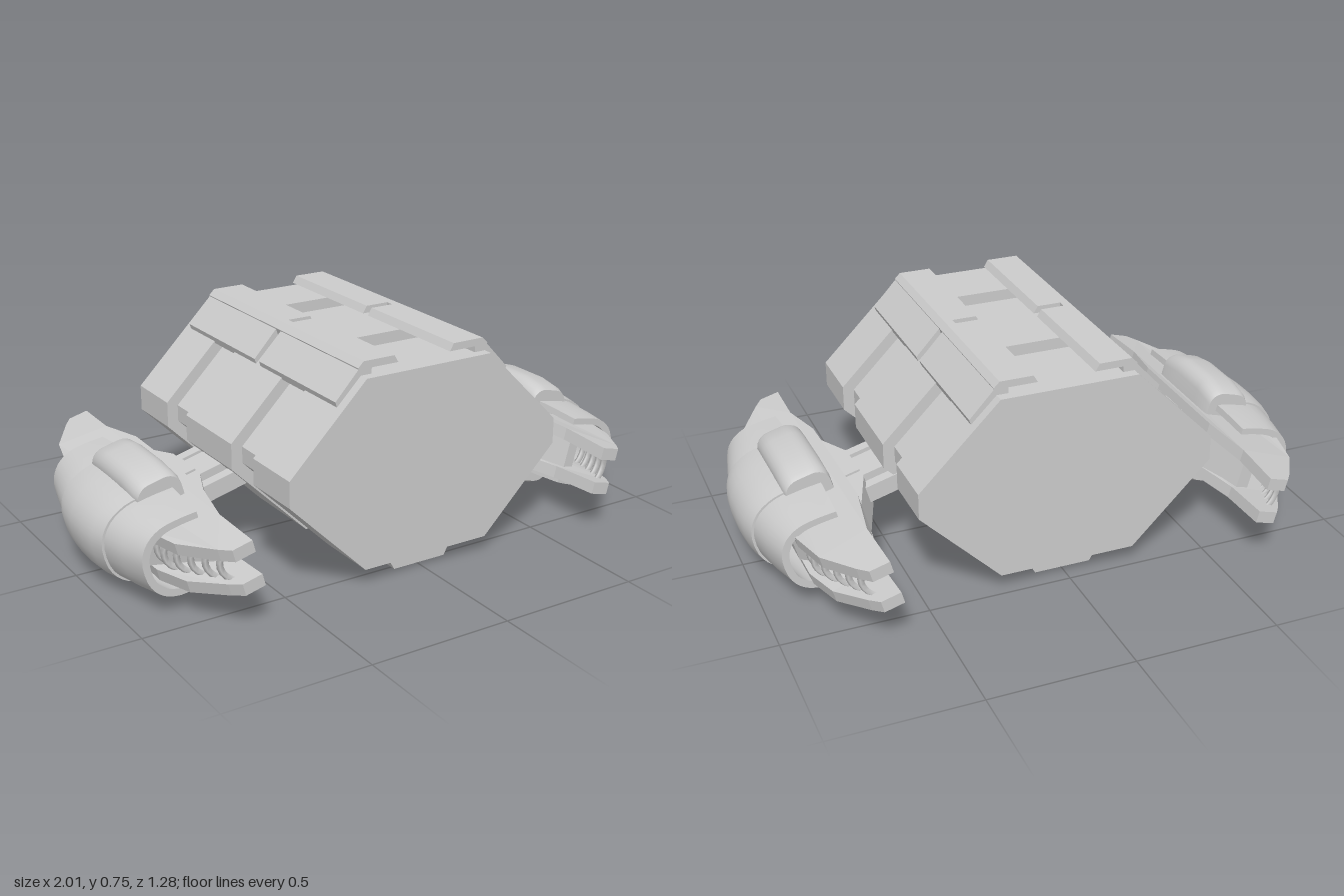
import * as THREE from 'three';
import { toCreasedNormals } from 'three/addons/utils/BufferGeometryUtils.js';

const mat = new THREE.MeshStandardMaterial({ color: 0xcccccc });
const V = (a) => a.map(([x, y]) => new THREE.Vector2(x, y));

function add(parent, name, geo) {
  const mesh = new THREE.Mesh(geo, mat);
  mesh.name = name;
  parent.add(mesh);
  return mesh;
}

// Straight prism along z
function prism(points, z0, z1) {
  const geo = new THREE.ExtrudeGeometry(new THREE.Shape(V(points)), { depth: z1 - z0, bevelEnabled: false });
  return geo.translate(0, 0, z0);
}

// Flat plate drawn in x/z, with its thickness centred on y = 0
function plate(points, thick) {
  const geo = new THREE.ExtrudeGeometry(new THREE.Shape(V(points)), { depth: thick, bevelEnabled: false });
  return geo.rotateX(Math.PI / 2).translate(0, thick / 2, 0);
}

// Counter-clockwise outline swept through stations [z, scaleX, scaleY], with capped ends
function loft(outline, stations) {
  const n = outline.length, pos = [], idx = [];
  for (const [z, sx, sy] of stations) for (const p of outline) pos.push(p.x * sx, p.y * sy, z);
  for (let s = 0; s < stations.length - 1; s++) {
    for (let i = 0; i < n; i++) {
      const j = (i + 1) % n, a = s * n + i, b = s * n + j;
      idx.push(a, b, b + n, a, b + n, a + n);
    }
  }
  const last = (stations.length - 1) * n;
  for (const [a, b, c] of THREE.ShapeUtils.triangulateShape(outline, [])) {
    idx.push(c, b, a, last + a, last + b, last + c);
  }
  const geo = new THREE.BufferGeometry();
  geo.setAttribute('position', new THREE.Float32BufferAttribute(pos, 3));
  geo.setIndex(idx);
  return toCreasedNormals(geo, 0.6);
}

// Eight-sided hull section, inset by d
function hullSection(d) {
  const k = d * 0.41, right = [[0.24 - k, 0.06 + d], [0.52 - d, 0.34 + k], [0.52 - d, 0.43 - k], [0.24 - k, 0.71 - d]];
  return [...right, ...right.map(([x, y]) => [-x, y]).reverse()];
}

// C-shaped armour section, open toward the hull
function shellSection() {
  const pts = [[-0.05, -0.14], [0.04, -0.147], [0.13, -0.143], [0.2, -0.11], [0.24, -0.05],
    [0.24, 0.05], [0.2, 0.11], [0.13, 0.143], [0.04, 0.147], [-0.05, 0.14]];
  const outer = new THREE.CatmullRomCurve3(pts.map(([x, y]) => new THREE.Vector3(x, y, 0)))
    .getPoints(28).map((p) => new THREE.Vector2(p.x, p.y));
  const inner = outer.map((p) => new THREE.Vector2(p.x > 0 ? p.x * 0.87 : p.x, p.y * 0.82)).reverse();
  return [...outer, ...inner];
}

// Rounded pad section above the pod
function cowlSection() {
  const w = 0.082, top = 0.2, r = 0.055, pts = [[-w, 0.085], [w, 0.085]];
  for (let i = 0; i <= 6; i++) {
    const a = (i / 6) * Math.PI / 2;
    pts.push([w - r + r * Math.cos(a), top - r + r * Math.sin(a)]);
  }
  for (let i = 0; i <= 6; i++) {
    const a = Math.PI / 2 + (i / 6) * Math.PI / 2;
    pts.push([-w + r + r * Math.cos(a), top - r + r * Math.sin(a)]);
  }
  return V(pts);
}

function createHull() {
  const hull = new THREE.Group();
  hull.name = 'hull';
  add(hull, 'hullCore', prism(hullSection(0.04), -0.47, 0.56));
  for (const [a, b] of [[-0.48, -0.265], [-0.12, 0.2], [0.345, 0.57]]) {
    add(hull, 'hullCollar', prism(hullSection(0), a, b));
  }
  add(hull, 'keel', prism([[-0.1, 0.01], [0.1, 0.01], [0.135, 0.07], [0.135, 0.11], [-0.135, 0.11], [-0.135, 0.07]], -0.435, 0.53));

  // Roof panels in two lengths, with a continuous shoulder rail
  const top = [[0.1, 0.73], [0.215, 0.73], [0.215, 0.755], [0.115, 0.755]];
  const slope = [[0.23, 0.71], [0.325, 0.615], [0.333, 0.64], [0.245, 0.735]];
  const rail = [[0.2, 0.705], [0.24, 0.705], [0.25, 0.735], [0.23, 0.755], [0.2, 0.755]];
  for (const side of [1, -1]) {
    const half = new THREE.Group();
    half.name = side > 0 ? 'leftRoofPanels' : 'rightRoofPanels';
    half.scale.x = side;
    for (const [a, b] of [[-0.445, 0.03], [0.06, 0.535]]) {
      add(half, 'topPanel', prism(top, a, b));
      add(half, 'slopePanel', prism(slope, a, b));
    }
    add(half, 'shoulderRail', prism(rail, -0.445, 0.535));
    hull.add(half);
  }
  return hull;
}

function createPod() {
  const pod = new THREE.Group();
  pod.position.set(0.755, 0.205, 0);
  pod.rotation.set(0, 0.019, -0.262, 'ZYX');

  // Struts to the hull and the wedge-shaped hub
  for (const [z, w, h] of [[0.005, 0.13, 0.075], [-0.11, 0.04, 0.06], [0.125, 0.04, 0.06]]) {
    add(pod, 'strut', new THREE.BoxGeometry(0.2, h, w).translate(-0.24, 0, z));
  }
  add(pod, 'beamCover', new THREE.BoxGeometry(0.18, 0.13, 0.13).translate(-0.1, 0, 0.005));
  add(pod, 'hub', plate([[-0.07, 0.45], [-0.12, 0.28], [-0.19, 0.1], [-0.19, -0.1], [-0.13, -0.25], [-0.075, -0.44],
    [-0.03, -0.44], [0.12, -0.22], [0.12, 0.28], [-0.03, 0.45]], 0.115));

  // Upper and lower jaws, closing toward their tips
  const jaw = [[-0.1, 0.64], [-0.03, 0.64], [0.0, 0.6], [0.08, 0.47], [0.115, 0.32]];
  const outline = [...jaw, ...jaw.map(([x, z]) => [x, -z]).reverse(),
    [-0.095, -0.44], [-0.13, -0.25], [-0.13, 0.25], [-0.095, 0.44]];
  for (const side of [1, -1]) {
    const geo = plate(outline, 0.042), p = geo.attributes.position;
    for (let i = 0; i < p.count; i++) {
      p.setY(i, p.getY(i) + side * (0.092 - 0.03 * Math.abs(p.getZ(i)) / 0.64));
    }
    geo.computeVertexNormals();
    add(pod, side > 0 ? 'upperJaw' : 'lowerJaw', geo);
  }

  // Curved ribs between the jaws
  for (const end of [1, -1]) {
    for (let i = 0; i < 6; i++) {
      const z = 0.34 + i * 0.05;
      const geo = new THREE.TorusGeometry(0.062, 0.011, 4, 10, Math.PI).rotateZ(-Math.PI / 2);
      const rib = add(pod, 'rib', geo);
      rib.position.set(0.035 - Math.max(0, z - 0.4) * 0.5, 0, end * z);
      rib.rotation.y = end * 0.4;
    }
  }

  // Armour shells: long sleeve and raised centre band
  const section = shellSection();
  add(pod, 'sleeveShell', loft(section, [[-0.32, 0.74, 0.86], [-0.22, 0.84, 0.91], [-0.12, 0.92, 0.94],
    [0.21, 0.92, 0.94], [0.31, 0.84, 0.91], [0.41, 0.74, 0.86]]));
  add(pod, 'centreShell', loft(section, [[-0.125, 0.95, 0.98], [-0.07, 1.0, 1.02], [0, 1.025, 1.04],
    [0.09, 1.025, 1.04], [0.16, 1.0, 1.02], [0.215, 0.95, 0.98]]));

  // Cowls above and below
  const cowl = cowlSection();
  for (const side of [1, -1]) {
    const mesh = add(pod, side > 0 ? 'upperCowl' : 'lowerCowl',
      loft(cowl, [[-0.14, 0.95, 0.88], [-0.12, 1, 0.93], [-0.04, 1, 1], [0.12, 1, 1], [0.205, 1, 0.93], [0.228, 0.95, 0.88]]));
    if (side < 0) {
      mesh.rotation.z = Math.PI;
    }
  }
  return pod;
}

export function createModel() {
  const model = new THREE.Group();
  model.name = 'craft';
  model.add(createHull());
  for (const side of [1, -1]) {
    const wing = new THREE.Group();
    wing.name = side > 0 ? 'leftPod' : 'rightPod';
    wing.scale.x = side;
    wing.add(createPod());
    model.add(wing);
  }
  return model;
}
